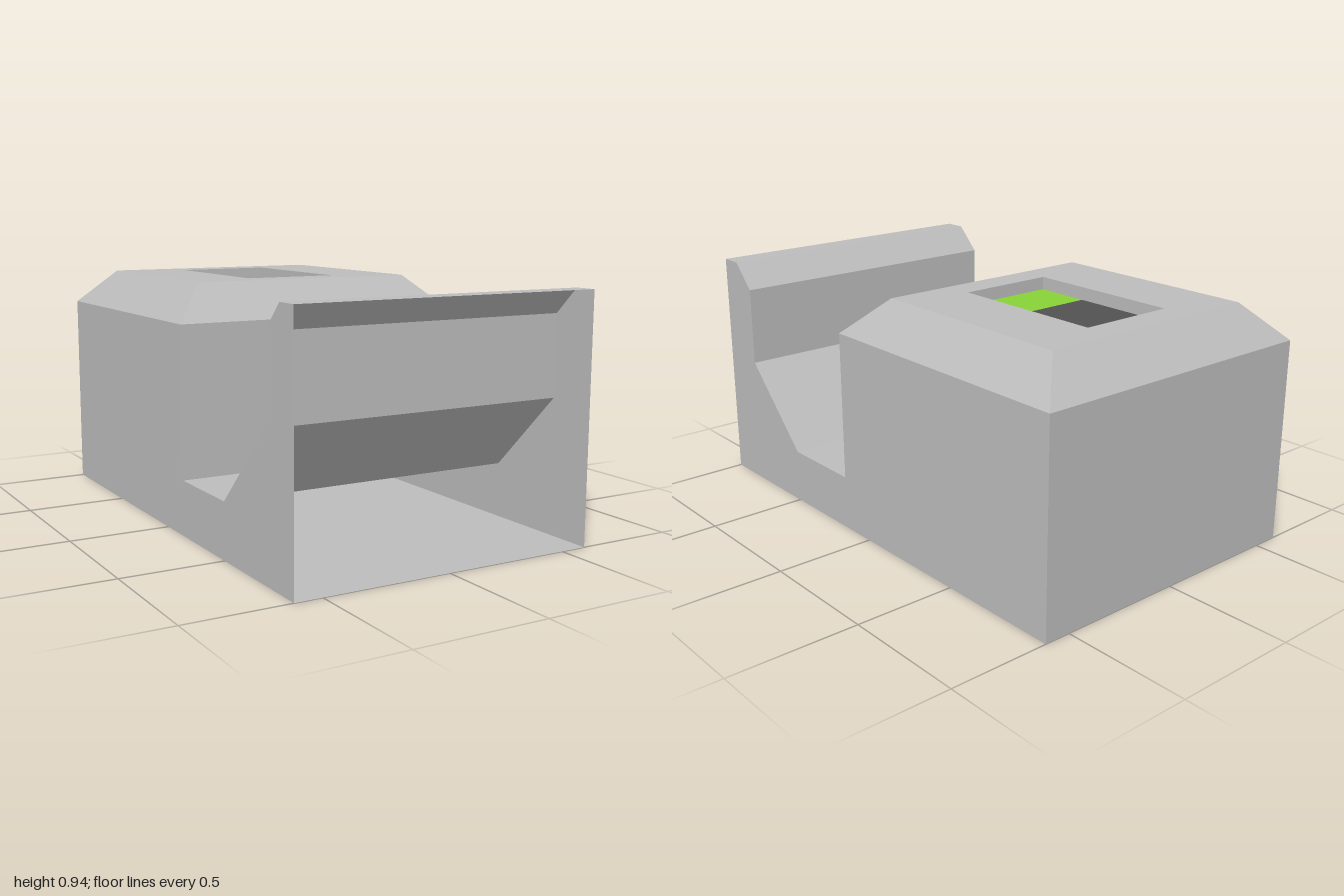
import * as THREE from 'three';

const mat = (name, color) => {
  const m = new THREE.MeshStandardMaterial({ color, side: THREE.DoubleSide });
  m.name = name;
  return m;
};

// Flat four-cornered panels, corners counter-clockwise from outside
function panels(quads) {
  const pos = [];
  for (const [a, b, c, d] of quads) pos.push(...a, ...b, ...c, ...a, ...c, ...d);
  const g = new THREE.BufferGeometry();
  g.setAttribute('position', new THREE.Float32BufferAttribute(pos, 3));
  g.computeVertexNormals();
  return g;
}

// Rectangle corners at height y, starting front right
const ring = (w, front, back, y) => [[-w, y, front], [w, y, front], [w, y, back], [-w, y, back]];
const bridge = (lo, hi) => lo.map((p, i) => [p, lo[(i + 1) % 4], hi[(i + 1) % 4], hi[i]]);
const shapeOf = (pts) => new THREE.Shape(pts.map(([x, y]) => new THREE.Vector2(x, y)));

export function createModel() {
  const group = new THREE.Group();
  const grey = mat('light grey', 0xbcbcbc);
  const dark = mat('dark grey', 0x525252);
  const green = mat('green', 0x87d237);
  const add = (name, geometry, material) => {
    const mesh = new THREE.Mesh(geometry, material);
    mesh.name = name;
    group.add(mesh);
    return mesh;
  };

  const W = 0.605;
  // Side outline as (z, y), from the open front over the lip and block to the back
  const profile = [[1, 0], [1, 0.94], [0.91, 0.94], [0.81, 0.84], [0.81, 0.525], [0.5, 0.215],
    [0.15, 0.215], [0.15, 0.8], [-1, 0.8], [-1, 0]];

  // Side walls
  for (const s of [1, -1]) {
    const g = new THREE.ShapeGeometry(shapeOf(profile.map(([z, y]) => [-s * z, y])));
    g.rotateY(s * Math.PI / 2).translate(s * W, 0, 0);
    add(s > 0 ? 'leftWall' : 'rightWall', g, grey);
  }

  // Panels across the width; the front and the block top stay open
  const strips = [];
  profile.forEach(([z0, y0], i) => {
    if (i === 0 || i === 7) return;
    const [z1, y1] = profile[(i + 1) % profile.length];
    strips.push([[-W, y0, z0], [W, y0, z0], [W, y1, z1], [-W, y1, z1]]);
  });
  add('crossPanels', panels(strips), grey);

  // Sloped border of the block top
  const rim = ring(0.465, 0.005, -0.86, 0.94);
  add('blockBevel', panels(bridge(ring(W, 0.15, -1, 0.8), rim)), grey);

  // Block top with a rectangular opening
  const hole = ring(0.193, -0.11, -0.745, 0.94);
  const topShape = shapeOf(rim.map(([x, , z]) => [x, -z]));
  topShape.holes.push(new THREE.Path(hole.map(([x, , z]) => new THREE.Vector2(x, -z))));
  add('blockTop', new THREE.ShapeGeometry(topShape).rotateX(-Math.PI / 2).translate(0, 0.94, 0), grey);

  // Recess walls and its two-coloured floor
  const floorY = 0.89;
  add('recessWalls', panels(bridge(hole, ring(0.193, -0.11, -0.745, floorY))), grey);
  add('recessGreenFloor', panels([ring(0.193, -0.11, -0.33, floorY)]), green);
  add('recessDarkFloor', panels([ring(0.193, -0.33, -0.745, floorY)]), dark);

  return group;
}
